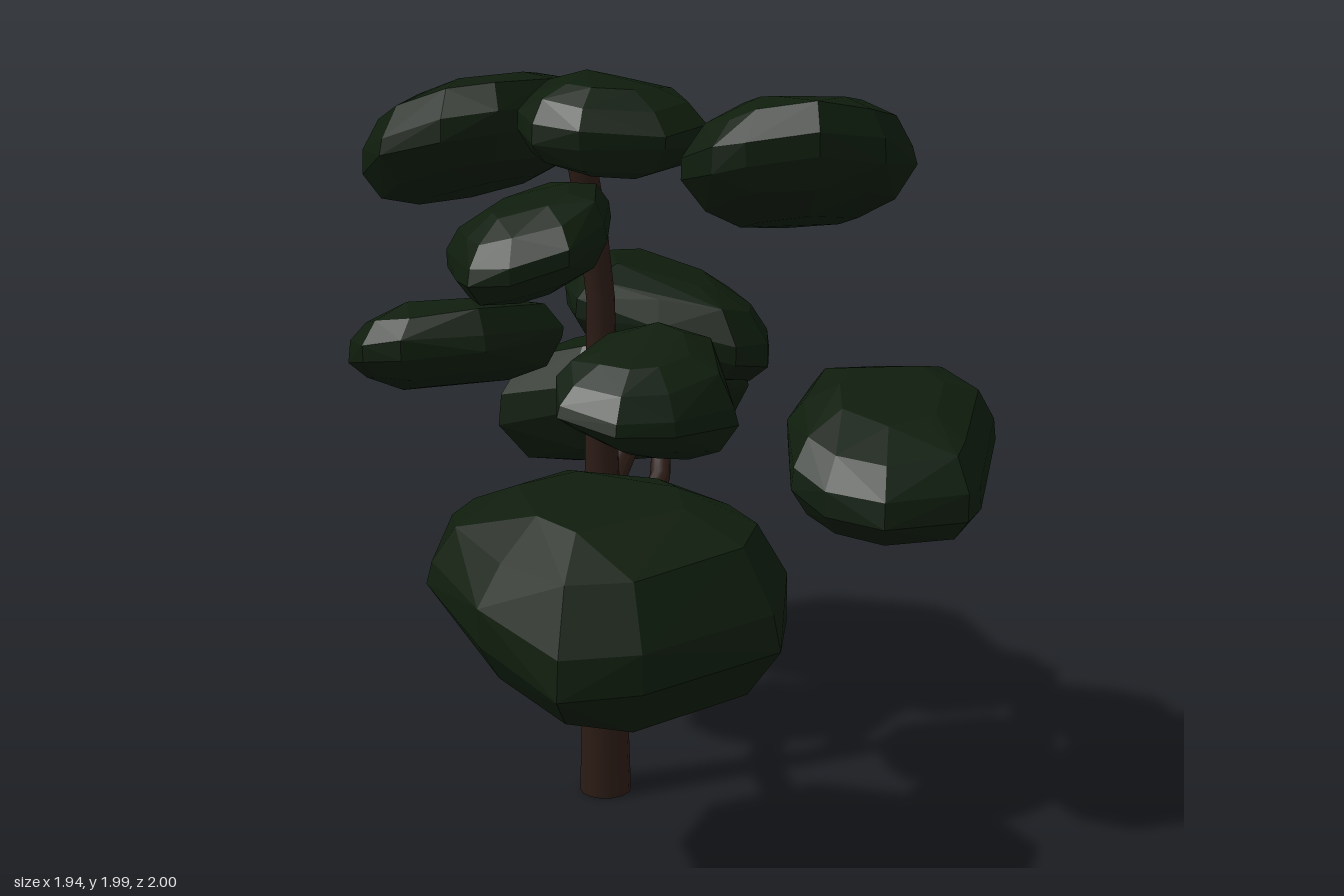
import * as THREE from 'three';
import { ConvexGeometry } from 'three/addons/geometries/ConvexGeometry.js';

const bark = new THREE.MeshStandardMaterial({ color: 0x2b1b15 });
const leaf = new THREE.MeshStandardMaterial({ color: 0x0f1d0d, flatShading: true });

function seeded(seed) {
  let s = seed * 7919 + 17;
  return () => (s = (s * 16807) % 2147483647) / 2147483647;
}

// Tapered limb: one ring of a cylinder per path point [x, y, z, radius]
function limb(name, path) {
  const last = path.length - 1;
  const pts = path.map(p => new THREE.Vector3(p[0], p[1], p[2]));
  const turns = pts.map((p, i) => {
    const a = i > 0 ? p.clone().sub(pts[i - 1]).normalize() : new THREE.Vector3();
    const b = i < last ? pts[i + 1].clone().sub(p).normalize() : new THREE.Vector3();
    return new THREE.Quaternion().setFromUnitVectors(new THREE.Vector3(0, 1, 0), a.add(b).normalize());
  });
  const geo = new THREE.CylinderGeometry(1, 1, 1, 14, last);
  const pos = geo.attributes.position;
  const v = new THREE.Vector3();
  for (let i = 0; i < pos.count; i++) {
    v.fromBufferAttribute(pos, i);
    const row = Math.round((v.y + 0.5) * last);
    v.y = 0;
    v.multiplyScalar(path[row][3]).applyQuaternion(turns[row]).add(pts[row]);
    pos.setXYZ(i, v.x, v.y, v.z);
  }
  geo.computeVertexNormals();
  const mesh = new THREE.Mesh(geo, bark);
  mesh.name = name;
  return mesh;
}

// Rings of a clump from bottom to top: [height, share of the outline]
const RINGS = [[-1, 0.5], [-0.72, 0.82], [-0.2, 1], [0.2, 0.99], [0.72, 0.83], [1, 0.5]];

// Faceted clump: hull of jittered rings that follow a plan outline [x, z].
// slope tilts it along x and z, taper thickens it towards +x and +z, y gives its bounds
function clump(name, seed, { y, slope, taper = [0, 0], plan }) {
  const rand = seeded(seed);
  const outline = new THREE.Box3().setFromPoints(plan.map(([x, z]) => new THREE.Vector3(x, y[0], z)));
  outline.max.y = y[1];
  const mid = outline.getCenter(new THREE.Vector3());
  const size = outline.getSize(new THREE.Vector3());
  const thick = size.y - 0.5 * Math.hypot(slope[0] * size.x, slope[1] * size.z);
  const points = [];
  for (const [height, share] of RINGS) {
    for (const [x, z] of plan) {
      const s = share * (0.95 + 0.05 * rand());
      const dx = (x - mid.x) * s, dz = (z - mid.z) * s;
      const swell = 1 + 2 * (taper[0] * dx / size.x + taper[1] * dz / size.z);
      const h = (height + 0.16 * (rand() - 0.5)) * swell * thick / 2;
      points.push(new THREE.Vector3(dx, h + slope[0] * dx + slope[1] * dz, dz));
    }
  }
  const box = new THREE.Box3().setFromPoints(points);
  const fit = size.divide(box.getSize(new THREE.Vector3()));
  points.forEach(p => p.sub(box.min).multiply(fit).add(outline.min));
  const mesh = new THREE.Mesh(new ConvexGeometry(points), leaf);
  mesh.name = name;
  return mesh;
}

export function createModel() {
  const tree = new THREE.Group();
  tree.name = 'tree';

  // Trunk and branches
  tree.add(
    limb('trunk', [[-0.16, 0, 0.025, 0.071], [-0.165, 0.6, 0.025, 0.055], [-0.17, 1.1, 0.025, 0.042],
      [-0.17, 1.4, 0.025, 0.038], [-0.2, 1.62, 0.025, 0.038], [-0.235, 1.78, 0.025, 0.038]]),
    limb('leftBranch', [[-0.16, 0.575, 0.02, 0.042], [0.17, 0.595, -0.24, 0.034],
      [0.42, 0.71, -0.39, 0.031], [0.52, 0.88, -0.49, 0.028]]),
    limb('upperBranch', [[-0.17, 0.83, 0.02, 0.04], [0.08, 0.98, -0.12, 0.033], [0.17, 1.18, -0.17, 0.028]]),
    limb('rightBranch', [[-0.17, 0.59, 0.02, 0.042], [-0.46, 0.645, 0.4, 0.034], [-0.52, 0.78, 0.5, 0.028]])
  );

  // Foliage
  const foliage = new THREE.Group();
  foliage.name = 'foliage';
  const clumps = {
    lowLeftBackClump: { y: [0.68, 1.2], slope: [-0.06, 0.32], taper: [-0.1, 0.1],
      plan: [[0.09, -0.76], [0.5, -0.99], [0.66, -1], [0.87, -0.93], [0.97, -0.7], [0.94, -0.58],
        [0.75, -0.38], [0.57, -0.17], [0.3, -0.2], [0.13, -0.48]] },
    lowRightFrontClump: { y: [0.57, 1.05], slope: [0.1, -0.14], taper: [0, 0.3],
      plan: [[-0.97, 0.8], [-0.8, 0.9], [-0.42, 0.96], [-0.28, 0.85], [-0.22, 0.68], [-0.25, 0.4],
        [-0.4, 0.15], [-0.7, 0.05], [-0.88, 0.2], [-0.96, 0.5]] },
    lowLeftFrontClump: { y: [0.86, 1.22], slope: [0.12, -0.18],
      plan: [[-0.07, 0.76], [0, 0.9], [0.2, 1], [0.28, 0.97], [0.6, 0.75], [0.64, 0.55], [0.5, 0.42],
        [0.35, 0.31], [0.14, 0.43], [-0.05, 0.63]] },
    middleLeftClump: { y: [1.08, 1.43], slope: [-0.16, -0.2],
      plan: [[-0.03, -0.25], [0.08, -0.42], [0.2, -0.54], [0.43, -0.57], [0.5, -0.46], [0.59, -0.22],
        [0.53, -0.05], [0.41, 0.08], [0.27, 0.09], [0.12, -0.07]] },
    middleBackClump: { y: [1.09, 1.38], slope: [-0.06, 0.2],
      plan: [[-0.64, -0.4], [-0.6, -0.52], [-0.45, -0.65], [-0.15, -0.62], [-0.02, -0.4], [-0.1, -0.2],
        [-0.4, -0.17], [-0.6, -0.28]] },
    middleFrontClump: { y: [1.07, 1.39], slope: [0.03, -0.26], taper: [0.4, 0],
      plan: [[-0.59, 0.35], [-0.53, 0.5], [-0.4, 0.57], [-0.2, 0.58], [-0.08, 0.4], [-0.12, 0.25],
        [-0.3, 0.18], [-0.5, 0.24]] },
    highRightClump: { y: [1.45, 1.73], slope: [0.28, 0.09],
      plan: [[-0.67, 0.1], [-0.62, 0.2], [-0.5, 0.29], [-0.35, 0.26], [-0.2, 0.1], [-0.22, -0.1],
        [-0.4, -0.19], [-0.55, -0.15], [-0.63, 0]] },
    topBackClump: { y: [1.6, 1.97], slope: [0, 0.31],
      plan: [[-0.53, -0.45], [-0.45, -0.66], [-0.1, -0.65], [0.03, -0.57], [0.09, -0.42], [0.05, -0.25],
        [-0.1, -0.18], [-0.35, -0.17], [-0.48, -0.25]] },
    topFrontClump: { y: [1.6, 1.97], slope: [-0.13, 0.26],
      plan: [[-0.22, 0.5], [-0.21, 0.6], [-0.08, 0.73], [0.12, 0.76], [0.35, 0.66], [0.39, 0.5],
        [0.33, 0.37], [0.2, 0.27], [-0.05, 0.26], [-0.18, 0.34]] },
    crownClump: { y: [1.73, 1.99], slope: [0.05, -0.13],
      plan: [[-0.38, 0], [-0.33, 0.13], [-0.15, 0.26], [0, 0.25], [0.06, 0.1], [0.02, -0.05],
        [-0.08, -0.2], [-0.2, -0.2], [-0.33, -0.12]] },
  };
  Object.entries(clumps).forEach(([name, spec], i) => foliage.add(clump(name, i + 1, spec)));
  tree.add(foliage);
  return tree;
}
